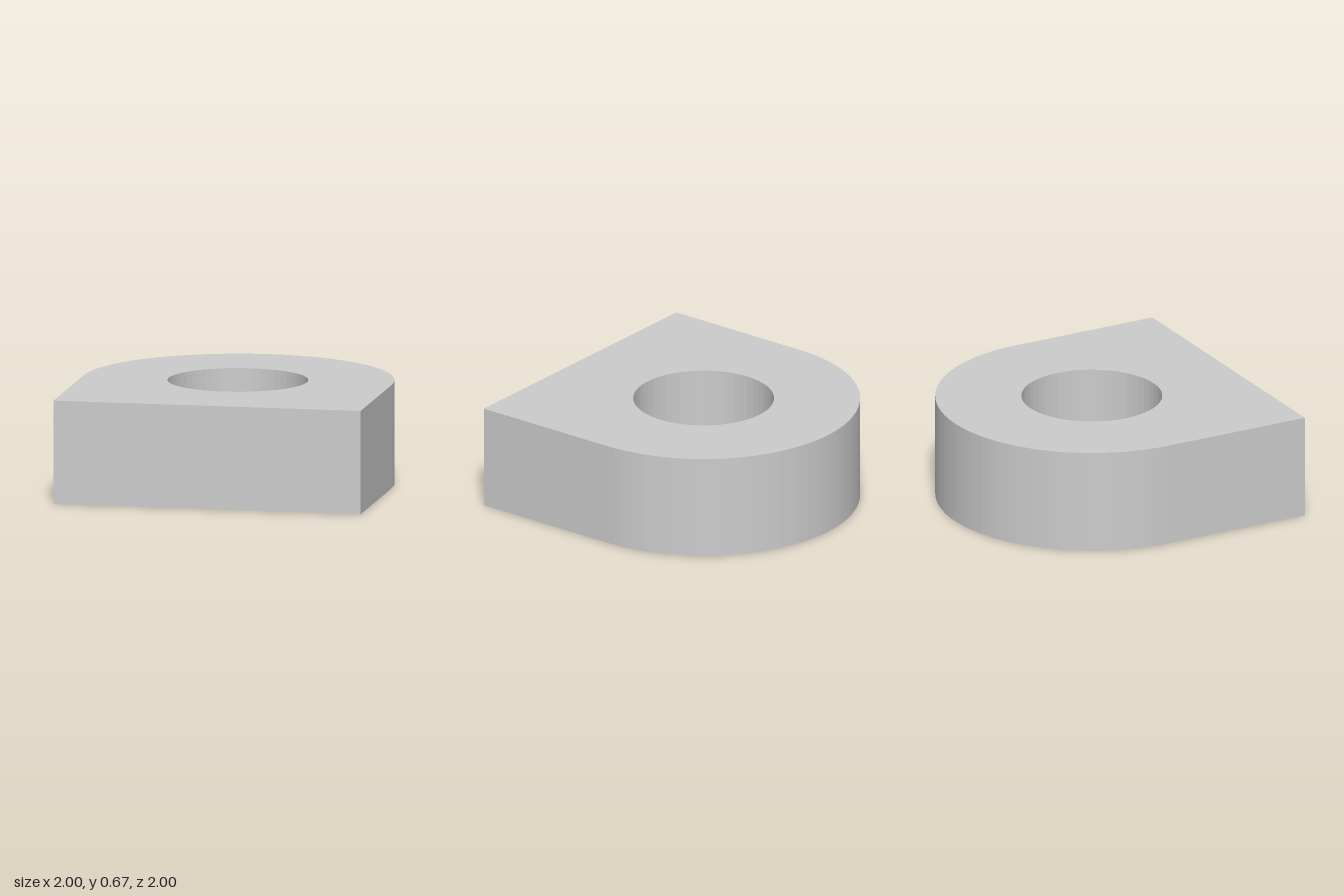
import * as THREE from 'three';

const HEIGHT = 0.67;
const OUTER_RADIUS = 1;
const HOLE_RADIUS = 0.45;

export function createModel() {
  const group = new THREE.Group();
  group.name = 'lugBlock';

  // Outline: square front, semicircular back (shape +y becomes -z)
  const outline = new THREE.Shape();
  outline.moveTo(-OUTER_RADIUS, -1);
  outline.lineTo(OUTER_RADIUS, -1);
  outline.lineTo(OUTER_RADIUS, 0);
  outline.absarc(0, 0, OUTER_RADIUS, 0, Math.PI, false);
  outline.closePath();

  // Through bore, concentric with the rounded end
  const bore = new THREE.Path();
  bore.absarc(0, 0, HOLE_RADIUS, 0, Math.PI * 2, true);
  outline.holes.push(bore);

  // Extruded upward from the ground
  const geometry = new THREE.ExtrudeGeometry(outline, {
    depth: HEIGHT,
    bevelEnabled: false,
    curveSegments: 28,
  });
  geometry.rotateX(-Math.PI / 2);

  const body = new THREE.Mesh(
    geometry,
    new THREE.MeshStandardMaterial({ color: 0xcccccc, flatShading: true })
  );
  body.name = 'boredBody';
  group.add(body);
  return group;
}
